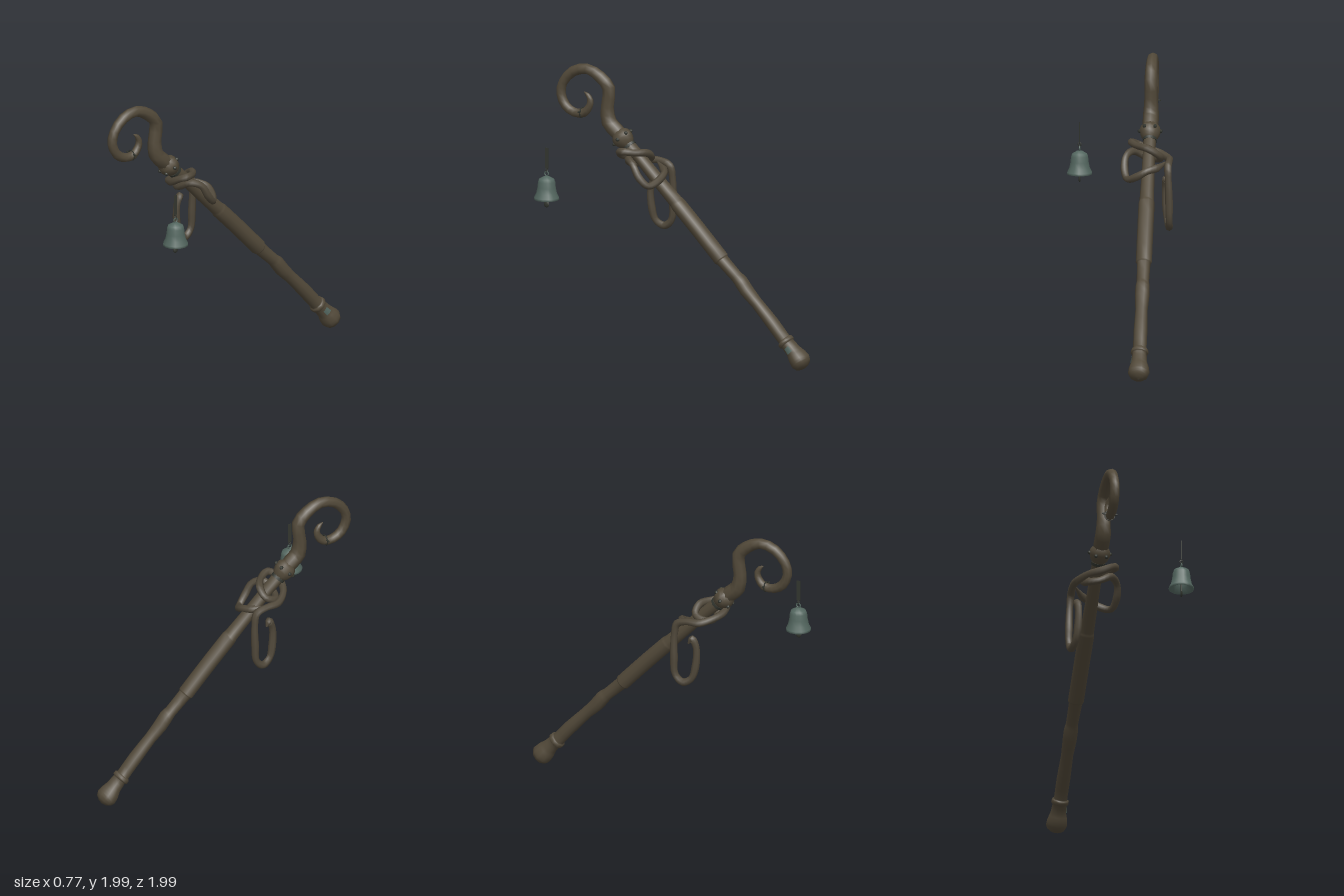
import * as THREE from 'three';

const mat = (name, color, side = THREE.FrontSide) => {
  const m = new THREE.MeshStandardMaterial({ color, side });
  m.name = name;
  return m;
};

// Tube through stations [x, y, z, radius]; radius is interpolated between stations
function sweep(stations, sides, div) {
  const curve = new THREE.CatmullRomCurve3(stations.map(s => new THREE.Vector3(s[0], s[1], s[2])));
  const spans = stations.length - 1, n = spans * div;
  const pos = [], idx = [];
  let normal = new THREE.Vector3(1, 0, 0);
  for (let i = 0; i <= n; i++) {
    const p = curve.getPoint(i / n), t = curve.getTangent(i / n);
    normal = normal.clone().addScaledVector(t, -normal.dot(t)).normalize();
    const b = t.clone().cross(normal);
    const k = Math.min(Math.floor(i / div), spans - 1);
    const r = THREE.MathUtils.lerp(stations[k][3], stations[k + 1][3], i / div - k);
    for (let j = 0; j < sides; j++) {
      const a = j / sides * Math.PI * 2;
      const v = p.clone().addScaledVector(normal, Math.cos(a) * r).addScaledVector(b, Math.sin(a) * r);
      pos.push(v.x, v.y, v.z);
      if (i < n) {
        const q = i * sides + j, s = i * sides + (j + 1) % sides;
        idx.push(q, s, q + sides, s, s + sides, q + sides);
      }
    }
  }
  const g = new THREE.BufferGeometry();
  g.setAttribute('position', new THREE.Float32BufferAttribute(pos, 3));
  g.setIndex(idx);
  g.computeVertexNormals();
  return g;
}

export function createModel() {
  const model = new THREE.Group();
  model.name = 'crookedStaffWithBell';
  const wood = mat('wood brown', 0x524939);
  const cord = mat('rope brown', 0x50483a);
  const bronze = mat('aged bronze', 0x53665f, THREE.DoubleSide);
  const iron = mat('dark iron', 0x33362f, THREE.DoubleSide);
  const add = (name, geo, material, parent = model) => {
    const m = new THREE.Mesh(geo, material);
    m.name = name;
    parent.add(m);
    return m;
  };
  const X = -0.215;
  const inPlane = list => list.map(([z, y, r]) => [X, y, z, r]);

  // Shaft: rounded foot, collar, thin lower part, thick grip, neck
  add('shaft', sweep(inPlane([
    [-0.966, 0.034, 0.001], [-0.96, 0.04, 0.035], [-0.947, 0.053, 0.062], [-0.927, 0.074, 0.075],
    [-0.9, 0.105, 0.07], [-0.868, 0.142, 0.055], [-0.825, 0.186, 0.05], [-0.818, 0.193, 0.062],
    [-0.803, 0.209, 0.06], [-0.796, 0.216, 0.047], [-0.7, 0.325, 0.048], [-0.58, 0.45, 0.043],
    [-0.5, 0.53, 0.05], [-0.455, 0.588, 0.05], [-0.42, 0.62, 0.043], [-0.31, 0.722, 0.047],
    [-0.3, 0.732, 0.056], [-0.1, 0.94, 0.056], [0.04, 1.08, 0.056], [0.06, 1.1, 0.05],
    [0.2, 1.235, 0.046], [0.35, 1.385, 0.043], [0.44, 1.465, 0.045], [0.5, 1.52, 0.045],
  ]), 10, 2), wood);

  // Crook: stem rising into a tapering spiral
  add('crook', sweep(inPlane([
    [0.45, 1.475, 0.045], [0.53, 1.55, 0.056], [0.586, 1.605, 0.055], [0.6, 1.71, 0.047],
    [0.588, 1.842, 0.046], [0.656, 1.917, 0.043], [0.758, 1.962, 0.038], [0.87, 1.933, 0.037],
    [0.948, 1.85, 0.034], [0.966, 1.767, 0.034], [0.929, 1.684, 0.034], [0.86, 1.643, 0.033],
    [0.785, 1.648, 0.031], [0.742, 1.698, 0.026], [0.735, 1.742, 0.022], [0.755, 1.778, 0.016],
    [0.782, 1.796, 0.003],
  ]), 8, 2), wood);

  // Knob between shaft and crook, ringed with studs
  const knob = new THREE.Group();
  knob.name = 'knob';
  knob.position.set(X, 1.505, 0.48);
  knob.rotation.x = Math.PI / 4;
  model.add(knob);
  const knobProfile = [[0.04, -0.07], [0.058, -0.05], [0.068, -0.025], [0.075, 0], [0.068, 0.028], [0.05, 0.05]];
  add('knobBody', new THREE.LatheGeometry(knobProfile.map(p => new THREE.Vector2(...p)), 10), wood, knob);
  for (let i = 0; i < 6; i++) {
    const a = i / 6 * Math.PI * 2;
    const stud = add('stud', new THREE.SphereGeometry(0.014, 6, 4), iron, knob);
    stud.position.set(Math.cos(a) * 0.073, 0, Math.sin(a) * 0.073);
  }
  const band = add('neckBand', new THREE.CylinderGeometry(0.05, 0.05, 0.02, 10), iron, knob);
  band.position.y = -0.075;

  // Small metal plate on the foot
  const plate = add('footPlate', new THREE.CylinderGeometry(0.0525, 0.0585, 0.045, 4, 1, true, Math.PI / 2 - 0.4, 0.8), bronze);
  plate.position.set(X + 0.001, 0.156, -0.855);
  plate.rotation.x = Math.PI / 4;

  // Wire and pin on the curl, where the bell hangs
  const wire = add('crookWire', new THREE.TorusGeometry(0.035, 0.005, 4, 12), iron);
  wire.position.set(X, 1.648, 0.8);
  const pin = add('crookPin', new THREE.CylinderGeometry(0.006, 0.006, 0.11, 6), iron);
  pin.position.set(X, 1.66, 0.8);
  pin.rotation.z = Math.PI / 2;

  // Rope: hanging loop, then two turns around the shaft
  const ropePath = [
    [-0.345, 1.17, 0.265], [-0.335, 1.205, 0.29], [-0.33, 1.14, 0.32], [-0.335, 1.0, 0.315],
    [-0.345, 0.915, 0.29], [-0.36, 0.88, 0.23], [-0.365, 0.93, 0.175], [-0.365, 1.06, 0.165],
    [-0.36, 1.22, 0.165], [-0.355, 1.31, 0.185], [-0.36, 1.338, 0.26], [-0.35, 1.34, 0.35],
    [-0.285, 1.365, 0.43], [-0.2, 1.385, 0.465], [-0.12, 1.425, 0.455], [-0.09, 1.44, 0.41],
    [-0.13, 1.43, 0.34], [-0.21, 1.42, 0.285], [-0.285, 1.37, 0.29], [-0.285, 1.335, 0.36],
    [-0.2, 1.335, 0.405], [-0.11, 1.385, 0.375], [-0.058, 1.36, 0.31], [-0.05, 1.28, 0.26],
    [-0.075, 1.22, 0.2], [-0.14, 1.245, 0.16], [-0.21, 1.285, 0.15], [-0.275, 1.3, 0.19],
    [-0.34, 1.33, 0.27],
  ];
  const last = ropePath.length - 1;
  add('rope', sweep(ropePath.map((p, i) =>
    [...p, i === 0 || i === last ? 0.006 : 0.024 + (i % 2) * 0.004]), 7, 4), cord);

  // Bell with rings, clapper and strap
  const bell = new THREE.Group();
  bell.name = 'bell';
  bell.position.set(0.292, 0, 0.8);
  model.add(bell);
  const bellProfile = [
    [0, 1.25], [0.045, 1.24], [0.052, 1.2], [0.06, 1.17], [0.08, 1.135], [0.088, 1.135], [0.087, 1.15],
    [0.072, 1.18], [0.064, 1.22], [0.06, 1.26], [0.052, 1.28], [0.02, 1.298], [0, 1.302],
  ];
  add('bellBody', new THREE.LatheGeometry(bellProfile.map(p => new THREE.Vector2(...p)), 14), bronze, bell);
  const lowerRing = add('lowerRing', new THREE.TorusGeometry(0.015, 0.005, 5, 10), bronze, bell);
  lowerRing.position.y = 1.317;
  lowerRing.rotation.y = Math.PI / 2;
  const upperRing = add('upperRing', new THREE.TorusGeometry(0.011, 0.004, 5, 8), iron, bell);
  upperRing.position.y = 1.345;
  const rod = add('clapperRod', new THREE.CylinderGeometry(0.005, 0.005, 0.16, 5), iron, bell);
  rod.position.y = 1.17;
  const clapper = add('clapper', new THREE.SphereGeometry(0.02, 6, 5), iron, bell);
  clapper.position.y = 1.1;
  clapper.scale.set(0.4, 1.2, 1.1);
  const strap = add('strap', new THREE.BoxGeometry(0.003, 0.145, 0.026), iron, bell);
  strap.position.y = 1.428;

  return model;
}
